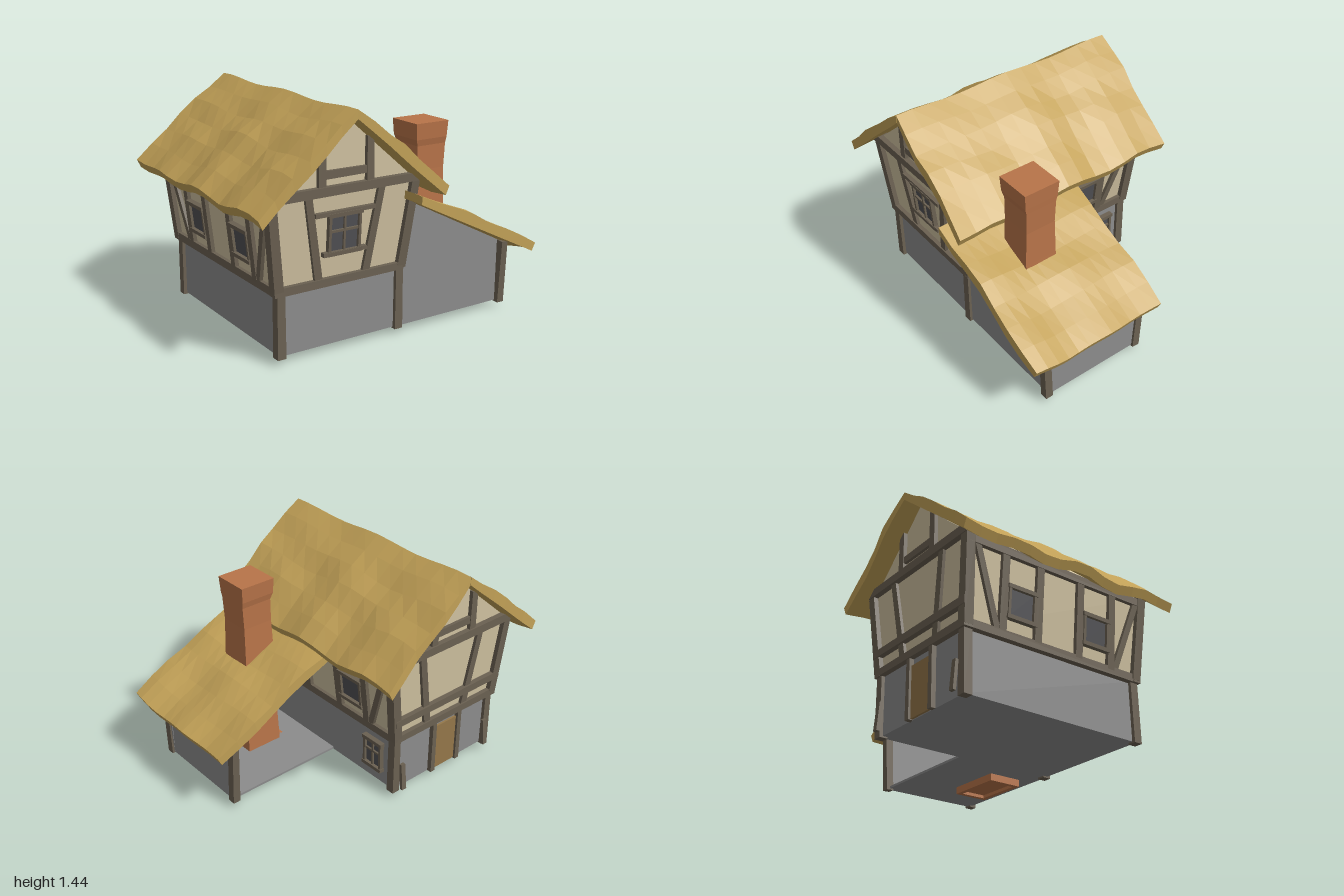
import * as THREE from 'three';

const mat = (color) => new THREE.MeshStandardMaterial({ color, flatShading: true, side: THREE.DoubleSide });
const V = (x, y, z) => new THREE.Vector3(x, y, z);

export function createModel() {
  const house = new THREE.Group();
  house.name = 'cottage';
  const thatch = mat(0xc2a157), timber = mat(0x6b6152), plaster = mat(0xcfc1a0), stone = mat(0x8c8c8c);
  const brick = mat(0xb87449), glass = mat(0x505054), wood = mat(0x94774a);

  const add = (name, geo, material, parent = house) => {
    const m = new THREE.Mesh(geo, material);
    m.name = name;
    parent.add(m);
    return m;
  };
  // Box given by its two extreme corners
  const block = (name, a, b, material, parent) => {
    const m = add(name, new THREE.BoxGeometry(b[0] - a[0], b[1] - a[1], b[2] - a[2]), material, parent);
    m.position.set((a[0] + b[0]) / 2, (a[1] + b[1]) / 2, (a[2] + b[2]) / 2);
    return m;
  };
  // Timber between two points, slightly narrower at its far end
  const beam = (name, a, b, w = 0.05, d = w, parent = house) => {
    const p = V(...a), q = V(...b), dir = q.clone().sub(p);
    const geo = new THREE.BoxGeometry(w, dir.length(), d);
    const pos = geo.attributes.position;
    for (let i = 0; i < pos.count; i++) if (pos.getY(i) > 0) pos.setX(i, pos.getX(i) * 0.9);
    const m = add(name, geo, timber, parent);
    m.position.copy(p).add(q).multiplyScalar(0.5);
    m.quaternion.setFromUnitVectors(V(0, 1, 0), dir.normalize());
    return m;
  };
  // Remap every vertex of a unit box by a rule
  const remap = (geo, rule) => {
    const p = geo.attributes.position;
    for (let i = 0; i < p.count; i++) p.setXYZ(i, ...rule(p.getX(i) + 0.5, p.getY(i) + 0.5, p.getZ(i) + 0.5));
    geo.computeVertexNormals();
    return geo;
  };
  const extrude = (name, pts, z0, z1, material) => {
    const shape = new THREE.Shape(pts.map((p) => new THREE.Vector2(...p)));
    const m = add(name, new THREE.ExtrudeGeometry(shape, { depth: z1 - z0, bevelEnabled: false }), material);
    m.position.z = z0;
    return m;
  };

  // The upper storey flares outwards: wall positions by height
  const t = (y) => (y - 0.42) / 0.55;
  const wallX = { 1: (y) => 0.05 + 0.07 * t(y), '-1': (y) => -0.78 - 0.06 * t(y) };
  const wallZ = { 1: (y) => 0.6 + 0.04 * t(y), '-1': (y) => -0.64 - 0.025 * t(y) };

  // Walls and floors
  block('stoneBase', [-0.77, 0.045, -0.635], [0.05, 0.43, 0.6], stone);
  add('upperStorey', remap(new THREE.BoxGeometry(), (u, v, w) => {
    const y = 0.42 + 0.55 * v;
    return [wallX[u > 0.5 ? 1 : -1](y), y, wallZ[w > 0.5 ? 1 : -1](y)];
  }), plaster);
  extrude('gableWalls', [[-0.84, 0.97], [0.12, 0.97], [-0.36, 1.385]], -0.665, 0.64, plaster);
  block('leanToFloor', [0.04, 0.045, -0.07], [0.86, 0.06, 0.6], stone);
  extrude('leanToFrontWall', [[0.04, 0.045], [0.86, 0.045], [0.87, 0.45], [0.09, 0.85]], 0.58, 0.605, stone);
  block('leanToSideWall', [0.835, 0.045, -0.08], [0.86, 0.44, 0.6], stone);

  // Wavy thatch slab from its upper edge to its eave
  const slab = (name, top, eave, z0, z1, thick, nx, nz, seed) => add(name,
    remap(new THREE.BoxGeometry(1, 1, 1, nx, 1, nz), (bx, by, bz) => {
      const u = eave[0] > top[0] ? bx : 1 - bx;
      const z = z0 + (z1 - z0) * bz;
      const end = bz === 0 || bz === 1 ? 0.008 * Math.sin(u * 9 + seed + bz * 3) : 0;
      const wave = 0.009 * Math.sin(z * 9 + 1.5) + u * 0.013 * Math.sin(z * 13 + seed);
      const bulge = by * Math.sin(Math.PI * u) * (0.018 + 0.01 * Math.sin(u * 14 + z * 6 + seed));
      const side = Math.sign(eave[0] - top[0]);
      const x = top[0] + (eave[0] - top[0]) * u - side * u * (1 - by) * 0.025
        + side * u * 0.008 * Math.sin(z * 15 + seed);
      return [x, top[1] + (eave[1] - top[1]) * u + wave + bulge - (1 - by) * thick, z + end];
    }), thatch);
  slab('mainRoofLeft', [-0.36, 1.43], [-0.985, 0.925], -0.79, 0.775, 0.052, 6, 14, 0.7);
  slab('mainRoofRight', [-0.36, 1.43], [0.265, 0.925], -0.79, 0.775, 0.052, 6, 14, 2.1);
  slab('leanToRoof', [0.065, 0.89], [0.985, 0.435], -0.14, 0.79, 0.05, 7, 12, 4.2);

  // Window facing +z, with frame and glazing bars
  const windowUnit = (name, w, h, at, ry, lean = 0, bars = true) => {
    const g = new THREE.Group();
    g.name = name;
    block('pane', [-w / 2, -h / 2, -0.02], [w / 2, h / 2, 0.008], glass, g);
    for (const s of [-1, 1]) {
      beam('frameSide', [s * w / 2, -h / 2, 0.01], [s * w / 2, h / 2, 0.01], 0.018, 0.03, g);
      block('frameRail', [-w / 2 - 0.015, s * h / 2 - 0.012, -0.01], [w / 2 + 0.015, s * h / 2 + 0.012, 0.03], timber, g);
    }
    if (bars) {
      beam('barUpright', [0, -h / 2, 0.01], [0, h / 2, 0.01], 0.014, 0.02, g);
      block('barCross', [-w / 2, 0.01, 0], [w / 2, 0.024, 0.02], timber, g);
    }
    g.position.set(...at);
    g.rotation.set(lean, ry, 0, 'YXZ');
    house.add(g);
  };

  // Corner posts, lower and upper
  for (const sx of [-1, 1]) for (const sz of [-1, 1]) {
    const x = sx > 0 ? 0.045 : -0.765, z = sz > 0 ? 0.595 : -0.63;
    beam('lowerCornerPost', [x, 0.035, z], [x, 0.45, z], 0.055);
    beam('upperCornerPost', [wallX[sx](0.43), 0.43, wallZ[sz](0.43)], [wallX[sx](0.97), 0.97, wallZ[sz](0.97)], 0.06);
  }

  // Gable framing on front and back
  for (const s of [1, -1]) {
    const z = wallZ[s];
    beam('floorBeam', [-0.81, 0.437, z(0.44)], [0.06, 0.437, z(0.44)], 0.05, 0.06);
    beam('tieBeam', [-0.865, 0.98, z(0.97)], [0.145, 0.98, z(0.97)], 0.055, 0.07);
    for (const m of [-1, 1]) {
      beam('leaningPost', [-0.36 + m * 0.16, 0.45, z(0.45)], [-0.36 + m * 0.245, 0.96, z(0.96)], 0.05, 0.04);
      beam('gablePost', [-0.36 + m * 0.16, 1.0, z(0.97)], [-0.36 + m * 0.16, 1.26, z(0.97)], 0.05, 0.05);
    }
    beam('gableCollar', [-0.51, 1.07, z(0.97)], [-0.21, 1.07, z(0.97)], 0.048, 0.04);
  }
  beam('backRail', [-0.82, 0.56, -0.65], [0.08, 0.56, -0.65], 0.05, 0.06);
  beam('frontLintel', [-0.56, 0.845, 0.64], [-0.16, 0.845, 0.64], 0.026, 0.04);
  beam('frontSill', [-0.5, 0.605, 0.625], [-0.21, 0.605, 0.625], 0.026, 0.04);
  windowUnit('frontWindow', 0.2, 0.23, [-0.36, 0.72, 0.625], 0, 0.07);

  // Side framing, mirrored left to right and front to back
  for (const sx of [-1, 1]) {
    const x = wallX[sx];
    beam('sideBeam', [x(0.44), 0.437, -0.67], [x(0.44), 0.437, 0.62], 0.055, 0.05);
    beam('wallPlate', [x(0.93), 0.93, -0.67], [x(0.93), 0.93, 0.64], 0.05, 0.05);
    for (const sz of [-1, 1]) {
      const zc = sz > 0 ? 0.27 : -0.285;
      for (const off of [-0.125, 0.125])
        beam('sidePost', [x(0.44), 0.44, zc + off], [x(0.93), 0.93, zc + off], 0.05, 0.05);
      beam('sideBrace', [x(0.44), 0.44, zc + sz * 0.155], [x(0.92), 0.92, zc + sz * 0.325], 0.045, 0.04);
      windowUnit('sideWindow', 0.18, 0.18, [x(0.64) + sx * 0.005, 0.64, zc], sx * Math.PI / 2, 0.11, false);
    }
  }
  windowUnit('stoneWindow', 0.14, 0.19, [0.055, 0.24, -0.465], Math.PI / 2);

  // Lean-to posts
  beam('leanToFrontPost', [0.85, 0.035, 0.61], [0.85, 0.45, 0.63], 0.05);
  beam('leanToBackPost', [0.85, 0.035, -0.07], [0.85, 0.45, -0.09], 0.05);

  // Back door with frame, and loose boards by the corners
  block('door', [-0.48, 0.05, -0.65], [-0.28, 0.37, -0.63], wood);
  for (const x of [-0.49, -0.27]) beam('doorPost', [x, 0.045, -0.645], [x, 0.42, -0.645], 0.035, 0.04);
  for (const x of [-0.73, 0.01]) beam('leaningBoard', [x, 0.06, -0.685], [x, 0.24, -0.668], 0.035, 0.02);

  // Chimney: stacked square sections [height, width]
  const rings = [[0.05, 0.25], [0.4, 0.23], [0.72, 0.218], [0.95, 0.205], [1.1, 0.21], [1.14, 0.228], [1.24, 0.24]];
  add('chimney', remap(new THREE.BoxGeometry(1, 1, 1, 1, rings.length - 1, 1), (u, v, w) => {
    const i = Math.round(v * (rings.length - 1)), [y, size] = rings[i];
    return [0.377 + (u - 0.5) * size + 0.004 * Math.sin(i * 2), y, 0.37 + (w - 0.5) * size];
  }), brick);

  // Hearth under the floor: rim around a recessed slab
  block('hearthSlab', [0.2, 0.02, 0.28], [0.53, 0.06, 0.49], brick);
  for (const z of [0.27, 0.47]) block('hearthRim', [0.18, 0, z], [0.55, 0.05, z + 0.03], brick);
  for (const x of [0.18, 0.52]) block('hearthRim', [x, 0, 0.3], [x + 0.03, 0.05, 0.47], brick);

  return house;
}
